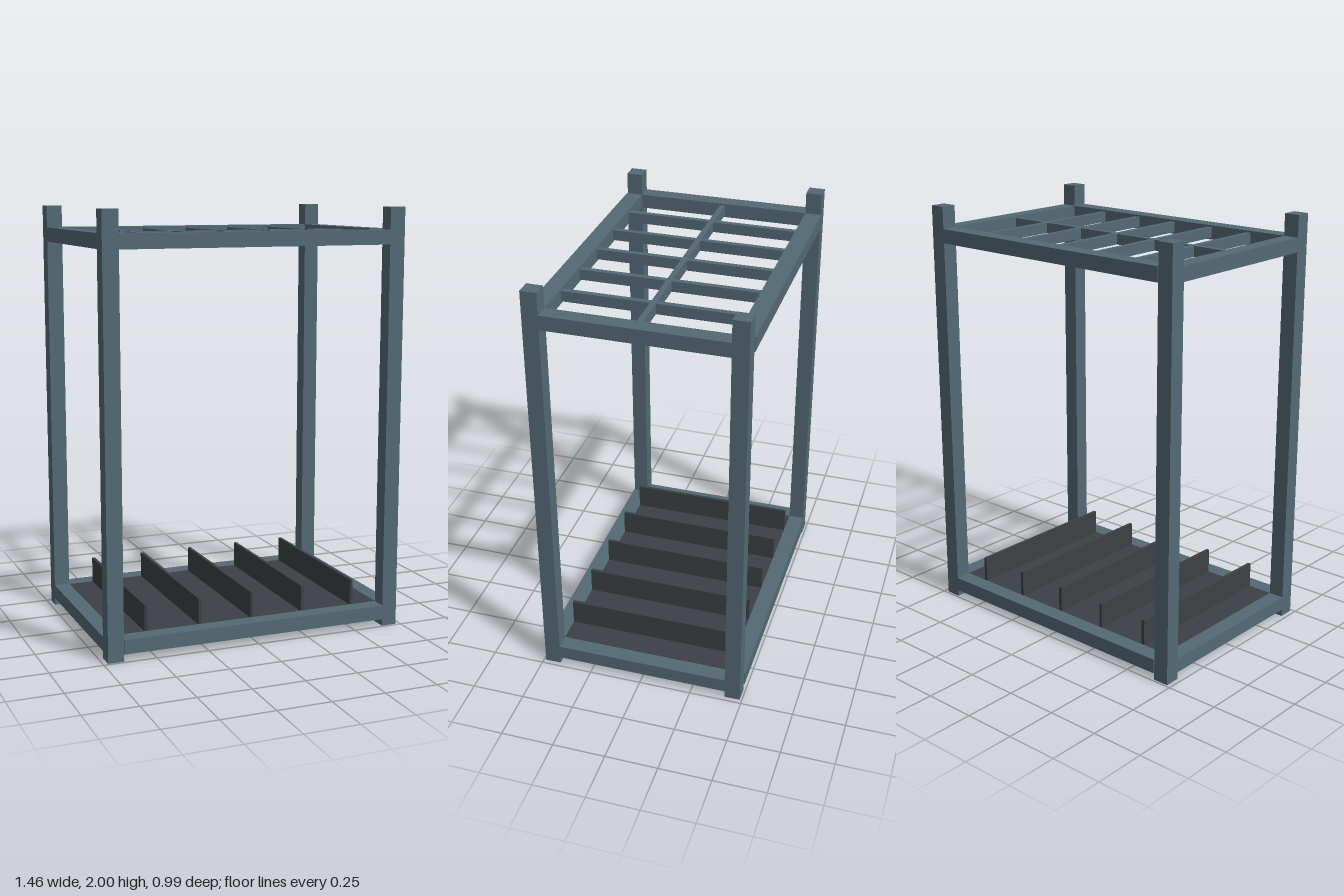
import * as THREE from 'three';

export function createModel() {
  const model = new THREE.Group();
  const steel = new THREE.MeshStandardMaterial({ color: 0x546a75 });
  const dark = new THREE.MeshStandardMaterial({ color: 0x3c4145 });

  const box = (name, material, size, position) => {
    const mesh = new THREE.Mesh(new THREE.BoxGeometry(...size), material);
    mesh.name = name;
    mesh.position.set(...position);
    model.add(mesh);
  };

  const postX = 0.69, postZ = 0.452, postW = 0.075;
  const innerX = postX - postW / 2, innerZ = postZ - postW / 2;

  // Four corner posts
  for (const sx of [-1, 1])
    for (const sz of [-1, 1])
      box('cornerPost', steel, [postW, 2, postW], [sx * postX, 1, sz * postZ]);

  // Lower and upper rail frames; the long rails stand slightly proud of the posts
  for (const [level, y] of [['lower', 0.068], ['upper', 1.863]]) {
    for (const s of [-1, 1]) {
      box(level + 'LongRail', steel, [innerX * 2, 0.068, 0.079], [0, y, s * (innerZ + 0.0395)]);
      box(level + 'SideRail', steel, [postW, 0.068, innerZ * 2], [s * postX, y, 0]);
    }
  }

  // Upper grid: one lengthwise bar with short bars on both sides
  const barW = 0.026, barH = 0.05, barY = 1.863;
  box('gridCentreBar', steel, [innerX * 2, barH, barW], [0, barY, 0]);
  const shortLength = innerZ - barW / 2;
  for (let i = -2; i <= 2; i++)
    for (const s of [-1, 1])
      box('gridCrossBar', steel, [barW, barH, shortLength],
        [i * 0.226, barY, s * (barW / 2 + shortLength / 2)]);

  // Base panel with upright dividers
  box('basePanel', dark, [innerX * 2, 0.02, innerZ * 2], [0, 0.09, 0]);
  for (let i = -2; i <= 2; i++)
    box('divider', dark, [0.015, 0.125, innerZ * 2], [i * 0.261, 0.1625, 0]);

  return model;
}
